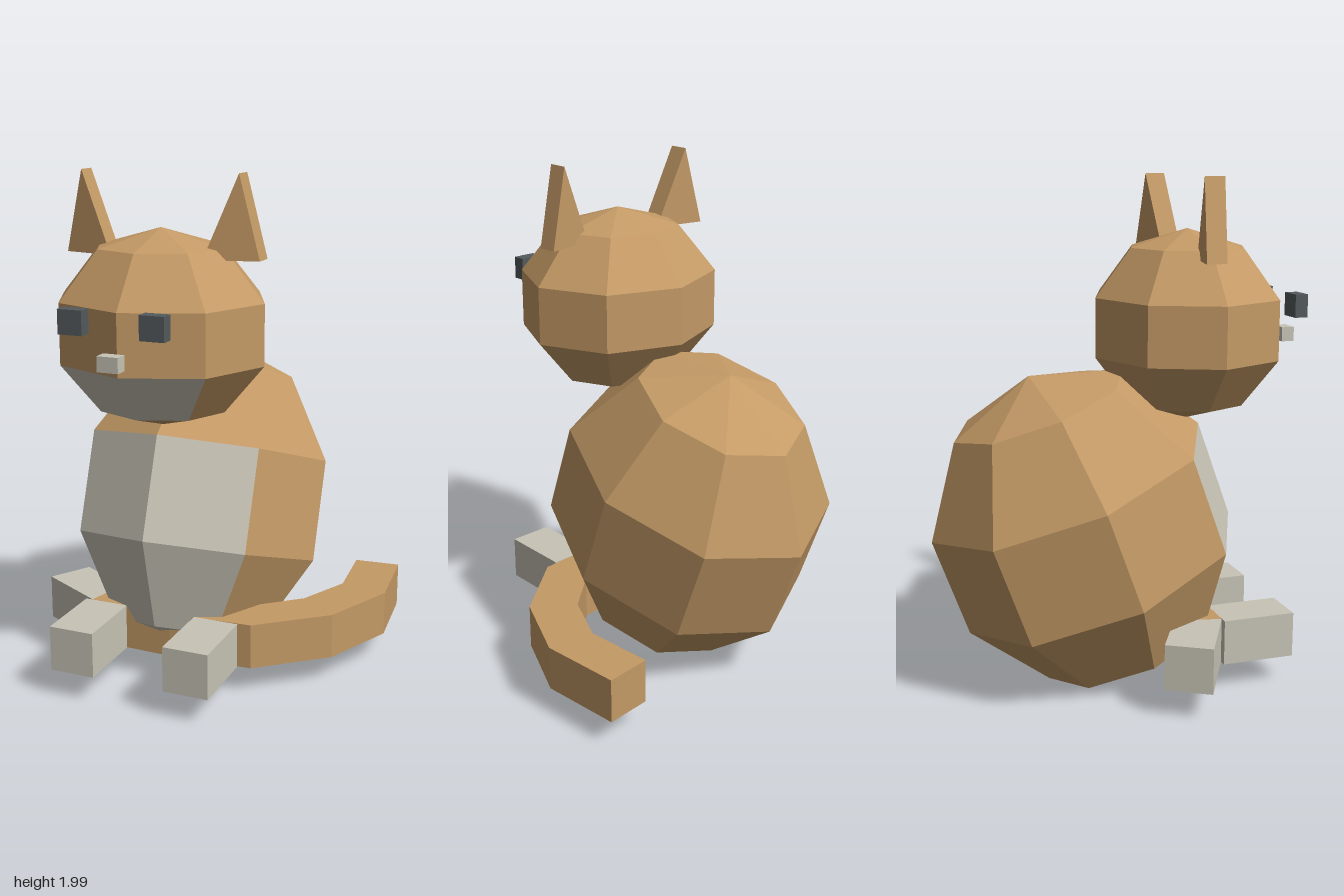
import * as THREE from 'three';

export function createModel() {
  const model = new THREE.Group();
  model.name = 'sittingCat';
  const mat = (name, color) => {
    const m = new THREE.MeshStandardMaterial({ color });
    m.name = name;
    return m;
  };
  const fur = mat('brown fur', 0xc49a66);
  const pale = mat('pale fur', 0xc8c4b6);
  const dark = mat('dark eye', 0x545b5e);
  const MID = -0.1; // centre line of the cat

  const add = (name, geometry, material) => {
    const mesh = new THREE.Mesh(geometry, material);
    mesh.name = name;
    model.add(mesh);
    return mesh;
  };
  const box = (name, w, h, d, x, y, z, material) =>
    add(name, new THREE.BoxGeometry(w, h, d), material).position.set(x, y, z);

  // Faceted ball whose two front columns are pale between two heights
  function facetedBall(name, rx, ry, rz, low, high) {
    const g = new THREE.SphereGeometry(1, 8, 5).toNonIndexed();
    const p = g.attributes.position;
    g.clearGroups();
    for (let i = 0; i < p.count; i += 3) {
      const mean = (get) => (p[get](i) + p[get](i + 1) + p[get](i + 2)) / 3;
      const x = mean('getX'), y = mean('getY'), z = mean('getZ');
      const isPale = z > Math.abs(x) && y > low && y < high;
      g.addGroup(i, 3, isPale ? 1 : 0);
    }
    g.scale(rx, ry, rz);
    g.computeVertexNormals();
    return add(name, g, [fur, pale]);
  }

  // Body leaning back, with pale belly
  const body = facetedBall('body', 0.526, 0.66, 0.61, -1, 0.309);
  body.position.set(MID, 0.63, -0.128);
  body.rotation.x = -0.349;

  // Head with pale chin
  const head = facetedBall('head', 0.431, 0.375, 0.394, -0.809, -0.309);
  head.position.set(MID, 1.422, 0.29);

  // Ears: thin triangular prisms swept back towards the outside
  for (const [name, s] of [['leftEar', 1], ['rightEar', -1]]) {
    const tri = [[0.39, 1.69], [0.315, 2], [0.185, 1.69]];
    const shape = new THREE.Shape(tri.map(([a, y]) => new THREE.Vector2(MID + s * a, y)));
    const g = new THREE.ExtrudeGeometry(shape, { depth: 0.08, bevelEnabled: false });
    const p = g.attributes.position;
    for (let i = 0; i < p.count; i++) {
      const a = Math.abs(p.getX(i) - MID);
      p.setZ(i, p.getZ(i) + 0.258 - (a - 0.185) * 0.22);
    }
    g.computeVertexNormals();
    add(name, g, fur);
  }

  // Eyes, nose and front paws
  for (const [side, s] of [['left', 1], ['right', -1]]) {
    box(side + 'Eye', 0.095, 0.09, 0.052, MID + s * 0.158, 1.502, 0.688, dark);
    box(side + 'Paw', 0.182, 0.18, 0.295, MID + s * 0.237, 0.205, 0.487, pale);
  }
  box('nose', 0.082, 0.057, 0.052, MID, 1.369, 0.714, pale);

  // Tail curling round the front: outer and inner edges as [x, z]
  const outer = [[0.643, -0.505], [0.672, -0.18], [0.54, 0.115], [0.28, 0.33],
    [-0.055, 0.35], [-0.4, 0.338], [-0.675, 0.19]];
  const inner = [[0.46, -0.49], [0.483, -0.21], [0.385, 0], [0.22, 0.145],
    [-0.055, 0.165], [-0.355, 0.155], [-0.58, 0.032]];
  function tailPiece(name, from, to, material) {
    const ring = [...outer.slice(from, to + 1), ...inner.slice(from, to + 1).reverse()];
    const shape = new THREE.Shape(ring.map(([x, z]) => new THREE.Vector2(x, z)));
    const g = new THREE.ExtrudeGeometry(shape, { depth: 0.18, bevelEnabled: false });
    g.rotateX(Math.PI / 2);
    g.translate(0, 0.295, 0);
    add(name, g, material);
  }
  tailPiece('tail', 0, 5, fur);
  tailPiece('tailTip', 5, 6, pale);

  return model;
}
